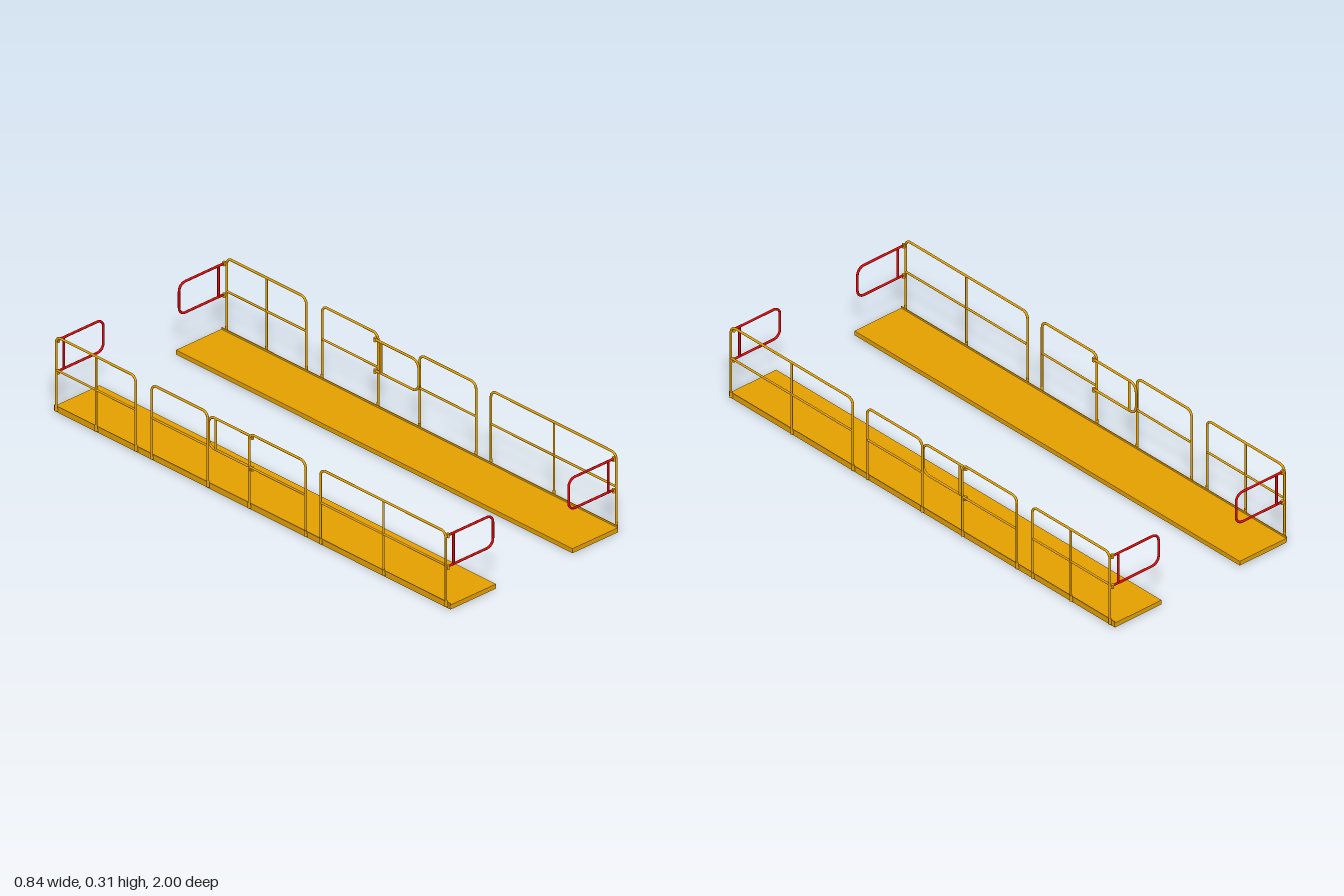
import * as THREE from 'three';

const yellow = new THREE.MeshStandardMaterial({ color: 0xe4a000 });
yellow.name = 'safety yellow';
const red = new THREE.MeshStandardMaterial({ color: 0xdc0606 });
red.name = 'gate red';

const R = 0.0046; // tube radius
const v = (x, y, z) => new THREE.Vector3(x, y, z);

function add(parent, name, geometry, material, x = 0, y = 0, z = 0) {
  const mesh = new THREE.Mesh(geometry, material);
  mesh.name = name;
  mesh.position.set(x, y, z);
  parent.add(mesh);
  return mesh;
}

function box(parent, name, w, h, d, x, y, z) {
  return add(parent, name, new THREE.BoxGeometry(w, h, d), yellow, x, y, z);
}

// Straight round bar between two points
function rod(parent, name, a, b, material, r = R) {
  const dir = b.clone().sub(a);
  const mesh = add(parent, name, new THREE.CylinderGeometry(r, r, dir.length(), 12), material);
  mesh.position.copy(a).add(b).multiplyScalar(0.5);
  mesh.quaternion.setFromUnitVectors(v(0, 1, 0), dir.normalize());
}

// Round bar through several points, with bent corners
function bentBar(parent, name, points, bend, material) {
  let start = points[0];
  for (let i = 1; i < points.length - 1; i++) {
    const p = points[i];
    const a = p.clone().add(points[i - 1].clone().sub(p).setLength(bend));
    const b = p.clone().add(points[i + 1].clone().sub(p).setLength(bend));
    rod(parent, name, start, a, material);
    // Cubic handles that follow a quarter circle
    const curve = new THREE.CubicBezierCurve3(a, a.clone().lerp(p, 0.552), b.clone().lerp(p, 0.552), b);
    add(parent, name + 'Bend', new THREE.TubeGeometry(curve, 8, R, 12), material);
    start = b;
  }
  rod(parent, name, start, points[points.length - 1], material);
}

// Guard rail panel running from z0 to z1, with sockets under its posts
function railPanel(side, z0, z1, middlePost) {
  const g = new THREE.Group();
  g.name = 'railPanel';
  const x = 0.4125;
  bentBar(g, 'railFrame', [v(x, 0.01, z0), v(x, 0.306, z0), v(x, 0.306, z1), v(x, 0.01, z1)], 0.025, yellow);
  rod(g, 'middleRail', v(x, 0.173, z0), v(x, 0.173, z1), yellow, 0.0042);
  const posts = [z0, z1];
  if (middlePost !== undefined) {
    posts.push(middlePost);
    rod(g, 'middlePost', v(x, 0.01, middlePost), v(x, 0.306, middlePost), yellow, 0.0042);
  }
  for (const z of posts) {
    add(g, 'postSocket', new THREE.CylinderGeometry(0.0055, 0.0055, 0.024, 12), yellow, x, 0.021, z);
    box(g, 'socketBracket', 0.008, 0.012, 0.008, 0.406, 0.012, z);
  }
  side.add(g);
}

// Swing gate lying along +x from its hinge, with a rounded free end
function swingGate(name, length, upright, material) {
  const g = new THREE.Group();
  g.name = name;
  const low = 0.164, high = 0.288;
  bentBar(g, 'gateFrame', [v(0, low, 0), v(length, low, 0), v(length, high, 0), v(0, high, 0)], 0.03, material);
  rod(g, 'gateUpright', v(upright, low, 0), v(upright, high, 0), material);
  return g;
}

// Hinge clamps joining a gate to its post
function hinges(side, x, z) {
  for (const y of [0.161, 0.287]) {
    add(side, 'hingeCollar', new THREE.CylinderGeometry(0.006, 0.006, 0.016, 12), yellow, x, y, z);
    box(side, 'hingeArm', 0.014, 0.008, 0.006, 0.407, y, z);
  }
}

// One platform; hingeZ, direction and upright describe its side gate
function buildSide(name, hingeZ, direction, upright) {
  const side = new THREE.Group();
  side.name = name;

  // Deck plate on a shallow perimeter frame, with a low outer edge strip
  box(side, 'deckPlate', 0.22, 0.015, 2, 0.295, 0.0105, 0);
  for (const x of [0.192, 0.398]) box(side, 'deckSideBeam', 0.014, 0.003, 2, x, 0.0015, 0);
  for (const z of [-0.993, 0.993]) box(side, 'deckEndBeam', 0.192, 0.003, 0.014, 0.295, 0.0015, z);
  box(side, 'edgeStrip', 0.003, 0.02, 2, 0.4055, 0.015, 0);

  // Guard rails, from the front to the back
  railPanel(side, 0.985, 0.352, 0.67);
  railPanel(side, 0.277, -0.008);
  railPanel(side, -0.217, -0.5);
  railPanel(side, -0.58, -0.982, -0.78);

  // Red gates across both ends
  for (const z of [0.983, -0.983]) {
    const gate = swingGate('endGate', 0.219, 0.028, red);
    gate.position.set(0.402, 0, z);
    gate.rotation.y = Math.PI;
    side.add(gate);
    hinges(side, 0.401, z);
  }

  // Yellow gate in the side opening
  const sideGate = swingGate('sideGate', 0.22, upright, yellow);
  sideGate.position.set(0.4, 0, hingeZ);
  sideGate.rotation.y = -direction * Math.PI / 2;
  side.add(sideGate);
  hinges(side, 0.4, hingeZ);

  return side;
}

export function createModel() {
  const model = new THREE.Group();
  model.name = 'accessPlatforms';
  const left = buildSide('leftPlatform', -0.22, 1, 0.03);
  // The right platform's side gate swings from the opposite post
  const right = buildSide('rightPlatform', -0.005, -1, 0.185);
  right.scale.x = -1;
  model.add(left, right);
  return model;
}
